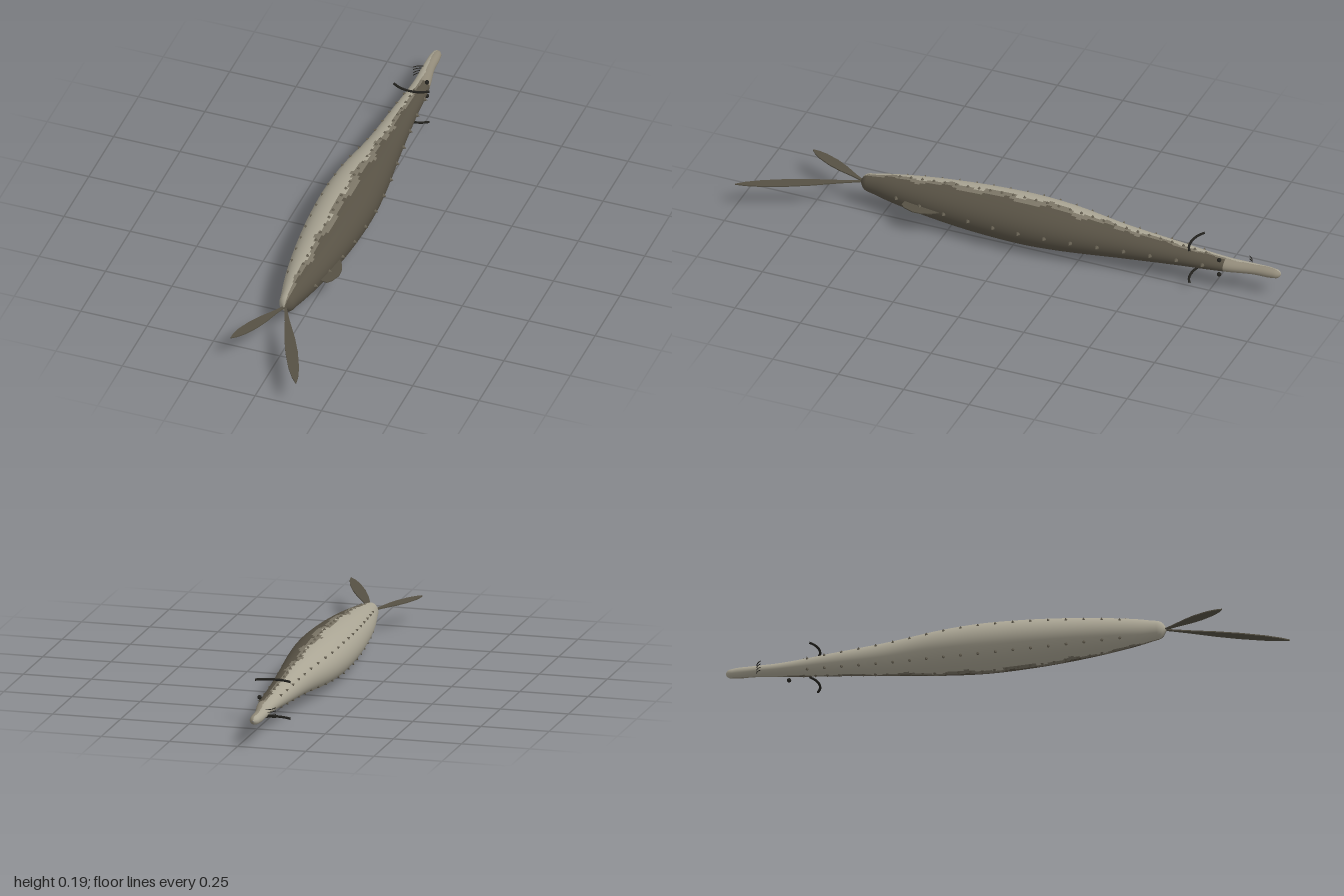
import * as THREE from 'three';

const mat = (name, color, side = THREE.FrontSide) => {
  const m = new THREE.MeshStandardMaterial({ color, side });
  m.name = name;
  return m;
};

// Cross-sections along the body: z, centre x, half width (x), half height (y)
const STATIONS = [
  [-1, -0.057, 0.002, 0.002], [-0.994, -0.057, 0.012, 0.011], [-0.975, -0.057, 0.018, 0.017],
  [-0.9, -0.056, 0.022, 0.019], [-0.8, -0.045, 0.031, 0.024], [-0.6, -0.043, 0.047, 0.041],
  [-0.4, -0.04, 0.066, 0.059], [-0.2, -0.043, 0.094, 0.079], [-0.07, -0.042, 0.103, 0.086],
  [0.05, -0.041, 0.102, 0.085], [0.2, -0.04, 0.092, 0.078], [0.4, -0.04, 0.065, 0.06],
  [0.55, -0.04, 0.032, 0.037], [0.585, -0.04, 0.022, 0.026], [0.6, -0.04, 0.002, 0.002],
];
const MID_Y = 0.1;
const spline = new THREE.CubicInterpolant(
  STATIONS.map((s) => s[0]), STATIONS.flatMap((s) => s.slice(1)), 3);

// Point on the skin; angle 0 is the back (+x), PI the belly (-x)
function skin(z, angle, scale = 1) {
  const [cx, a, b] = spline.evaluate(z);
  return new THREE.Vector3(cx + a * scale * Math.cos(angle), MID_Y + b * scale * Math.sin(angle), z);
}

// Lofted body, its faces sorted into colour groups
function bodyGeometry() {
  const sides = 64;
  const zs = [-1, -0.998, -0.994, -0.985, -0.975];
  for (let i = 1; i <= 76; i++) zs.push(-0.975 + i * 0.02);
  zs.push(0.57, 0.58, 0.588, 0.595, 0.6);
  zs.sort((p, q) => p - q);
  const positions = [];
  for (const z of zs) {
    for (let j = 0; j < sides; j++) positions.push(...skin(z, (j / sides) * Math.PI * 2).toArray());
  }
  const faces = [[], [], [], []];
  for (let i = 0; i < zs.length - 1; i++) {
    for (let j = 0; j < sides; j++) {
      const k = (j + 1) % sides;
      const a = i * sides + j, b = i * sides + k, c = a + sides, d = b + sides;
      const t = (j + 0.5) / sides * 360;
      const fromBack = Math.min(t, 360 - t);
      const wave = 5 * Math.sin(zs[i] * 31) + 3 * Math.sin(zs[i] * 83);
      let g = 2;
      if (fromBack < 92 + wave) g = zs[i] < -0.81 ? 3 : fromBack < 77 + wave ? 0 : 1;
      faces[g].push(a, b, c, b, d, c);
    }
  }
  const geo = new THREE.BufferGeometry();
  geo.setAttribute('position', new THREE.Float32BufferAttribute(positions, 3));
  geo.setIndex(faces.flat());
  let start = 0;
  faces.forEach((f, g) => { geo.addGroup(start, f.length, g); start += f.length; });
  geo.computeVertexNormals();
  return geo;
}

// Thin fin lying in the x-z plane, outline given as [x, z] points
function finGeometry(points) {
  const shape = new THREE.Shape(points.map(([x, z]) => new THREE.Vector2(x, -z)));
  const geo = new THREE.ExtrudeGeometry(shape, { depth: 0.004, bevelEnabled: false });
  geo.rotateX(-Math.PI / 2);
  geo.translate(0, MID_Y - 0.002, 0);
  return geo;
}

// Leaf-shaped tail lobe from root to tip
function lobe(from, to, width) {
  const a = new THREE.Vector2(...from), d = new THREE.Vector2(...to).sub(a);
  const n = new THREE.Vector2(-d.y, d.x).normalize();
  const rule = [[0, 0.15], [0.2, 0.4], [0.42, 0.85], [0.6, 1], [0.8, 0.85], [0.92, 0.5], [1, 0.04]];
  const edge = (s) => rule.map(([t, w]) =>
    [a.x + d.x * t + n.x * w * s * width / 2, a.y + d.y * t + n.y * w * s * width / 2]);
  return finGeometry([...edge(1), ...edge(-1).reverse()]);
}

function tube(points, radius) {
  const path = new THREE.CatmullRomCurve3(points.map((p) => new THREE.Vector3(...p)));
  return new THREE.TubeGeometry(path, 14, radius, 6);
}

export function createModel() {
  const model = new THREE.Group();
  model.name = 'fish';
  const back = mat('back olive', 0x575144);
  const flank = mat('flank grey brown', 0x7b7566);
  const belly = mat('belly pale grey', 0xaaa594);
  const snout = mat('snout brown grey', 0x918a79);
  const plate = mat('scute brown', 0x645e50);
  const fin = mat('fin olive', 0x555043);
  const dark = mat('dark', 0x22211d);

  const add = (name, geometry, material, parent = model) => {
    const mesh = new THREE.Mesh(geometry, material);
    mesh.name = name;
    parent.add(mesh);
    return mesh;
  };

  add('body', bodyGeometry(), [back, flank, belly, snout]);

  // Rows of bony scutes: angle, first z, last z, count, size
  const scute = new THREE.ConeGeometry(1, 1.5, 8);
  const rows = [['dorsalScutes', 0, -0.72, 0.44, 13, 0.0125]];
  for (const s of [1, -1]) {
    rows.push(['lateralScutes', s * Math.PI / 2, -0.72, 0.45, 28, 0.009]);
    rows.push(['ventralScutes', s * 2.46, -0.7, 0.44, 19, 0.0085]);
  }
  const up = new THREE.Vector3(0, 1, 0);
  for (const [name, angle, z0, z1, count, size] of rows) {
    const row = new THREE.Group();
    row.name = name;
    model.add(row);
    for (let i = 0; i < count; i++) {
      const z = z0 + (z1 - z0) * i / (count - 1);
      const m = add('scute', scute, plate, row);
      const out = new THREE.Vector3(Math.cos(angle), Math.sin(angle), 0);
      m.position.copy(skin(z, angle)).addScaledVector(out, size * 0.2);
      m.quaternion.setFromUnitVectors(up, out);
      m.scale.setScalar(size);
    }
  }

  // Fins
  add('upperTailLobe', lobe([-0.042, 0.585], [0.154, 1.0], 0.044), fin);
  add('lowerTailLobe', lobe([-0.038, 0.585], [-0.155, 0.83], 0.044), fin);
  add('dorsalFin', finGeometry([[0.0, 0.28], [0.045, 0.265], [0.062, 0.29], [0.074, 0.325],
    [0.075, 0.355], [0.063, 0.39], [0.048, 0.407], [0.025, 0.405], [0.0, 0.38]]), fin);

  // Gill arcs and eyes, mirrored in y
  for (const s of [1, -1]) {
    const y = MID_Y + s * 0.067;
    add('gillArc', tube([[-0.107, y, -0.686], [-0.078, y, -0.671], [-0.04, y, -0.665],
      [-0.002, y, -0.671], [0.026, y, -0.686]], 0.0045), dark);
    const eye = add('eye', new THREE.SphereGeometry(0.008, 12, 8), dark);
    eye.position.set(-0.018, MID_Y + s * 0.03, -0.78);
  }

  // Barbels under the snout
  for (const y of [-0.014, -0.005, 0.005, 0.014]) {
    add('barbel', tube([[-0.07, MID_Y + y, -0.885], [-0.088, MID_Y + y * 1.1, -0.877],
      [-0.101, MID_Y + y * 1.3, -0.862]], 0.0015), dark);
  }
  return model;
}
